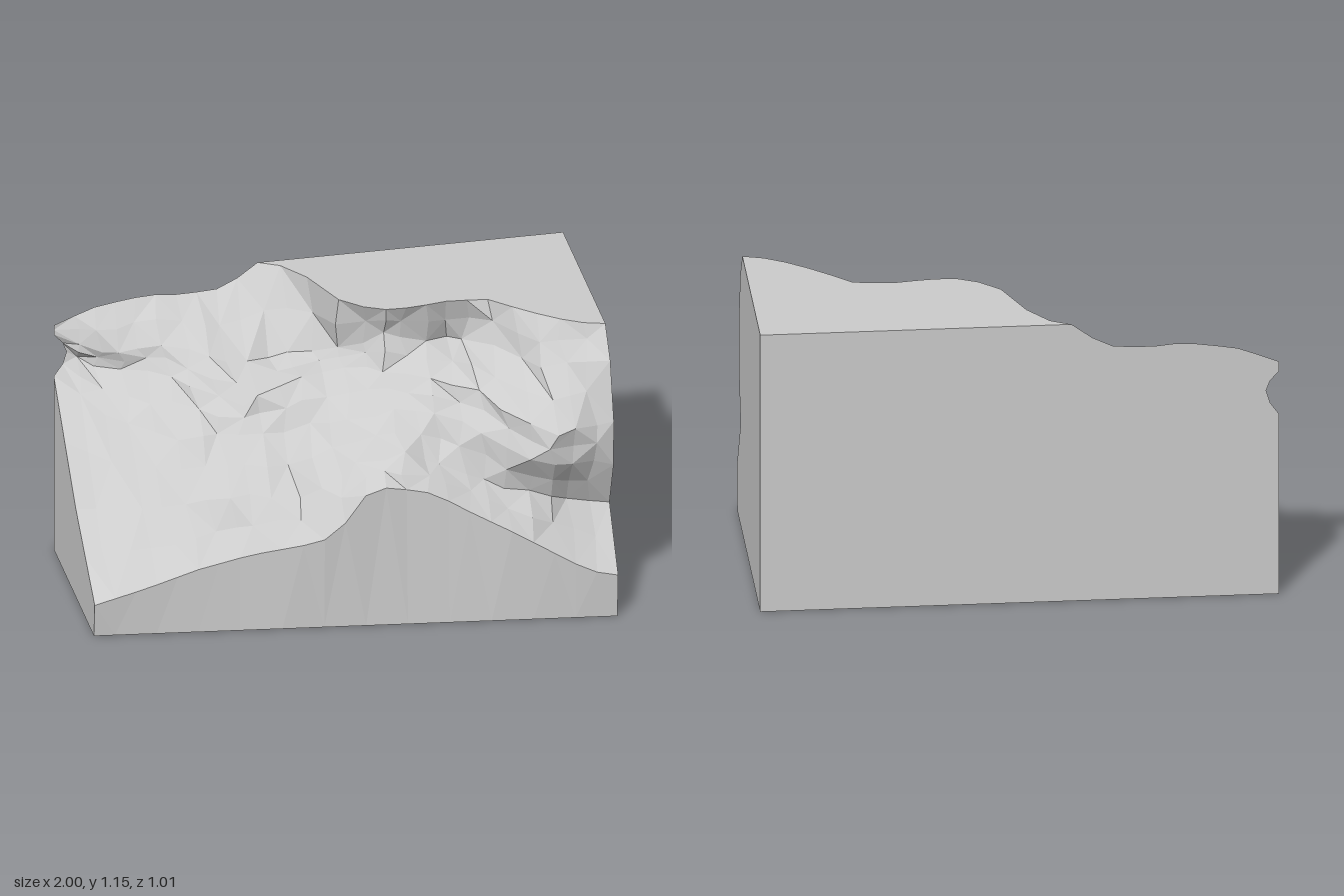
import * as THREE from 'three';

const BACK = -0.505, TOP = 1.155, COLS = 25;

// outlines along x: depth and height of the apron rim, height of the crest, depth of the plateau edge
const RIM_Z = [[-1, .245], [-.4, .3], [-.1, .36], [.2, .362], [.4, .39], [.6, .435], [1, .505]];
const RIM = [[-1, .14], [-.8, .2], [-.6, .27], [-.4, .32], [-.2, .36], [-.1, .39], [0, .49], [.04, .56], [.12, .585],
  [.3, .55], [.45, .46], [.6, .38], [.75, .29], [.85, .23], [.93, .195], [1, .185]];
const CREST = [[-1, .97], [-.85, 1.03], [-.7, 1.055], [-.6, 1.06], [-.5, 1.05], [-.33, 1.06], [-.2, TOP], [1, TOP]];
const EDGE = [[-1, BACK], [-.2, BACK], [-.1, -.45], [-.05, -.37], [0, -.25], [.03, -.15], [.1, -.07], [.2, -.02],
  [.3, -.015], [.45, -.04], [.6, -.02], [.7, .08], [.8, .17], [.9, .24], [1, .27]];

// cliff profiles: x, then four (height, depth) pairs between rim and crest
const CLIFF = [
  [-1, .38, -.1, .75, BACK, .85, BACK, .93, BACK],
  [-.8, .42, .02, .66, -.25, .8, -.44, .87, -.4],
  [-.6, .45, .1, .65, -.1, .82, -.3, .92, -.36],
  [-.38, .5, .15, .66, -.05, .76, -.1, .88, -.24],
  [-.2, .5, .2, .68, 0, .82, -.11, .86, -.28],
  [-.1, .55, .23, .72, .02, .85, -.12, .88, -.27],
  [0, .62, .23, .74, .06, .87, -.12, .91, -.23],
  [.1, .66, .26, .77, .1, .89, -.07, .97, -.1],
  [.2, .68, .28, .8, .12, .9, -.01, 1.03, -.06],
  [.4, .6, .29, .78, .18, .89, .11, .97, -.07],
  [.5, .56, .31, .74, .25, .88, .15, .97, -.1],
  [.62, .52, .34, .69, .37, .83, .31, .99, .08],
  [.73, .48, .36, .66, .455, .79, .46, .98, .25],
  [.86, .44, .33, .65, .43, .8, .43, 1.02, .29],
  [1, .42, .345, .62, .42, .81, .425, 1.04, .36],
];

// linear lookup of column k in a table sorted by x
function lookup(table, x, k = 1) {
  let i = 1;
  while (i < table.length - 1 && table[i][0] < x) i++;
  const a = table[i - 1], b = table[i];
  const t = Math.min(1, Math.max(0, (x - a[0]) / (b[0] - a[0])));
  return a[k] + (b[k] - a[k]) * t;
}

let seed = 7;
const jitter = (size) => {
  seed = (seed * 16807) % 2147483647;
  return (seed / 2147483647 - 0.5) * 2 * size;
};

const V = (x, y, z) => new THREE.Vector3(x, y, z);
const foot = (x) => V(x, 0, 0.36 + 0.13 * x);

// one column of the cliff, from rim to crest, with a midpoint between control points
function cliffColumn(i) {
  const x = -1 + (2 * i) / COLS;
  const ctrl = [V(x, lookup(RIM, x), lookup(RIM_Z, x))];
  for (let k = 1; k < 9; k += 2) ctrl.push(V(x, lookup(CLIFF, x, k), lookup(CLIFF, x, k + 1)));
  ctrl.push(V(x, lookup(CREST, x), lookup(EDGE, x)));
  const column = [];
  ctrl.forEach((p, k) => {
    if (k) column.push(ctrl[k - 1].clone().lerp(p, 0.5));
    column.push(p);
  });
  if (i === 0) {
    // rounded notch cut into the right end
    [-0.965, -0.95, -0.965].forEach((nx, k) => { column[5 + k].x = nx; });
  } else if (i < COLS) {
    // break up the rock face, leaving the borders clean
    column.slice(1, -1).forEach((p) => {
      p.x += jitter(0.018);
      p.y += jitter(0.009);
      p.z = Math.max(BACK, p.z + jitter(0.014));
    });
  }
  return column;
}

function flatGeometry(points) {
  const geometry = new THREE.BufferGeometry().setFromPoints(points);
  geometry.computeVertexNormals();
  return geometry;
}

// skin over a grid of columns, alternating the diagonal
function skin(columns) {
  const tris = [];
  for (let i = 0; i < columns.length - 1; i++) {
    for (let j = 0; j < columns[i].length - 1; j++) {
      const a = columns[i][j], b = columns[i + 1][j], c = columns[i + 1][j + 1], d = columns[i][j + 1];
      if ((i + j) % 2) tris.push(a, b, c, a, c, d);
      else tris.push(a, b, d, b, c, d);
    }
  }
  return flatGeometry(tris);
}

// flat cap over a planar outline, facing along the given normal
function cap(outline, normal) {
  const flat = outline.map((p) => (normal.x ? new THREE.Vector2(p.z, p.y)
    : normal.y ? new THREE.Vector2(p.x, p.z) : new THREE.Vector2(p.x, p.y)));
  const tris = [];
  for (const [a, b, c] of THREE.ShapeUtils.triangulateShape(flat, [])) {
    const [p, q, r] = [outline[a], outline[b], outline[c]];
    const facing = q.clone().sub(p).cross(r.clone().sub(p)).dot(normal);
    tris.push(...(facing > 0 ? [p, q, r] : [p, r, q]));
  }
  return flatGeometry(tris);
}

export function createModel() {
  const group = new THREE.Group();
  const rock = new THREE.MeshStandardMaterial({ color: 0xcccccc });
  rock.name = 'rock grey';
  const add = (name, geometry) => {
    const mesh = new THREE.Mesh(geometry, rock);
    mesh.name = name;
    group.add(mesh);
  };

  const columns = Array.from({ length: COLS + 1 }, (_, i) => cliffColumn(i));
  const crest = columns.map((c) => c[c.length - 1]);
  const first = columns[0], last = columns[COLS];
  const corner = (x, y) => V(x, y, BACK);

  // rock face and the smooth apron below it
  add('cliffFace', skin(columns));
  add('apron', skin(columns.map((c) => [foot(c[0].x), c[0]])));

  // plateau, starting where the crest reaches full height
  const start = Math.round(0.4 * COLS);
  add('plateau', cap([...crest.slice(start), corner(1, TOP)], V(0, 1, 0)));

  // cut sides, back and underside
  add('leftSide', cap([foot(1), ...last, corner(1, TOP), corner(1, 0)], V(1, 0, 0)));
  add('rightSide', cap([foot(-1), ...first.slice(0, 5), corner(-1, 0)], V(-1, 0, 0)));
  add('back', cap([corner(-1, 0), corner(1, 0), corner(1, TOP),
    ...crest.slice(0, start + 1).reverse(), ...first.slice(4, -1).reverse()], V(0, 0, -1)));
  add('underside', cap([corner(1, 0), corner(-1, 0), foot(-1), foot(1)], V(0, -1, 0)));
  return group;
}
